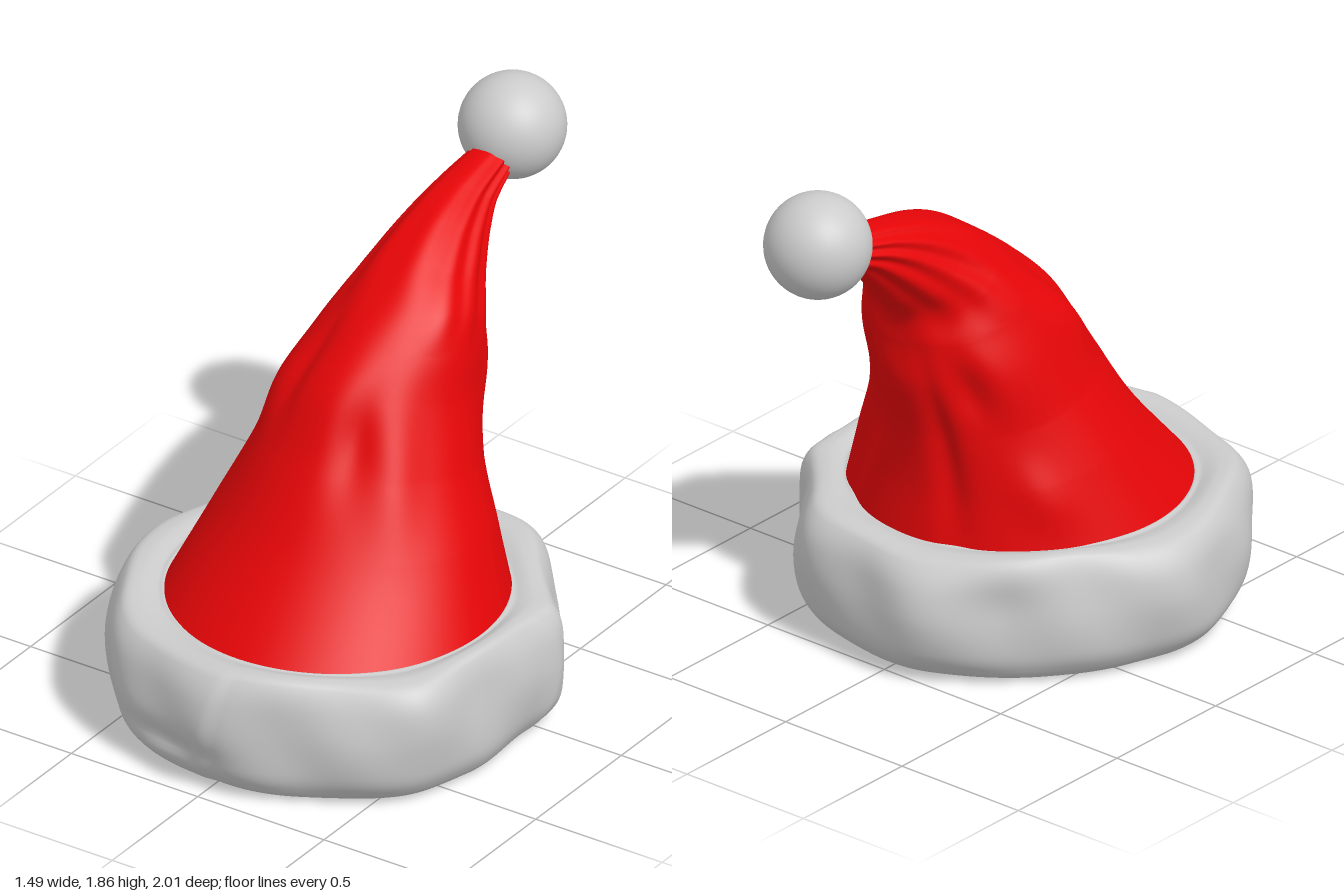
import * as THREE from 'three';
import { ParametricGeometry } from 'three/addons/geometries/ParametricGeometry.js';

const TAU = Math.PI * 2;
const CENTRE = { x: 0.03, z: 0.23 }; // axis of the opening
const GREY = 0xcccccc, RED = 0xe60507;

const wrap = (a) => Math.atan2(Math.sin(a), Math.cos(a));
// smooth bump around a point in (angle, height) space
const bump = (a, y, a0, y0, wa, wy, amp) =>
  amp * Math.exp(-((wrap(a - a0) / wa) ** 2) - ((y - y0) / wy) ** 2);
// overlap of cloth: steep on one side, fading out on the other
const overlap = (a, a0, fade, amp) => {
  const d = wrap(a - a0);
  return d > 0 ? amp * THREE.MathUtils.smoothstep(d, 0, 0.09) * Math.exp(-d / fade) : 0;
};

function surface(name, fn, slices, stacks, color) {
  const material = new THREE.MeshStandardMaterial({ color, side: THREE.DoubleSide });
  const mesh = new THREE.Mesh(new ParametricGeometry(fn, slices, stacks), material);
  mesh.name = name;
  return mesh;
}

// Cone: tilted rings given as front z, front y, back z, back y, right x, left x
function makeCone() {
  const rings = [
    [0.825, 0.41, -0.36, 0.41, -0.545, 0.605],
    [0.555, 0.72, -0.34, 0.62, -0.445, 0.495],
    [0.40, 0.96, -0.35, 0.80, -0.36, 0.395],
    [0.28, 1.17, -0.40, 1.02, -0.295, 0.33],
    [0.14, 1.31, -0.40, 1.15, -0.235, 0.315],
    [0.01, 1.42, -0.40, 1.25, -0.18, 0.29],
    [-0.12, 1.51, -0.47, 1.34, -0.135, 0.225],
    [-0.28, 1.585, -0.55, 1.43, -0.10, 0.165],
    [-0.46, 1.635, -0.62, 1.50, -0.075, 0.12],
    [-0.66, 1.67, -0.70, 1.55, -0.055, 0.095],
  ];
  const curve = (i) => new THREE.CatmullRomCurve3(
    rings.map((r) => new THREE.Vector3(r[i], r[i + 1], 0)));
  const [front, back, sides] = [curve(0), curve(2), curve(4)];

  return surface('cone', (u, v, target) => {
    const a = -u * TAU, c = Math.cos(a), s = Math.sin(a);
    const f = front.getPoint(v), b = back.getPoint(v), w = sides.getPoint(v);
    const k = (1 + s) / 2;
    const y = b.y + (f.y - b.y) * k;
    // gathers fan out from the tip, broad dents lie in the middle
    const gather = Math.max(0, v - 0.45) / 0.55;
    const mid = Math.sin(Math.PI * v) ** 2;
    const swell = 1
      + 0.08 * gather * Math.sin(10 * a + 1.2 * Math.sin(2 * a) + 0.6)
      + 0.02 * mid * Math.sin(3 * a + 9 * v) + 0.014 * mid * Math.sin(5 * a - 14 * v)
      + bump(a, y, 1.15, 1.05, 0.2, 0.15, -0.09)
      + bump(a, y, 0.75, 0.95, 0.2, 0.2, 0.04)
      + bump(a, y, 2.5, 1.12, 0.25, 0.12, 0.05)
      + bump(a, y, 2.1, 1.2, 0.15, 0.14, -0.06)
      + bump(a, y, -0.95, 0.85, 0.16, 0.3, -0.13)
      + bump(a, y, -0.6, 1.1, 0.16, 0.1, 0.05)
      + bump(a, y, -2.3, 1.0, 0.2, 0.12, -0.1)
      + bump(a, y, -2.55, 0.62, 0.2, 0.12, 0.04)
      + bump(a, y, -1.9, 0.75, 0.12, 0.25, -0.07)
      + bump(a, y, -1.2, 1.3, 0.2, 0.15, -0.07);
    target.set(
      (w.x + w.y) / 2 + c * swell * (w.y - w.x) / 2,
      y,
      (f.z + b.z) / 2 + (f.x + b.x) / 2 + s * swell * (f.x - b.x) / 2);
  }, 160, 110, RED);
}

// Fur band: a rounded section swept between a round opening and a lumpy outline
function makeBand() {
  const outline = new THREE.CatmullRomCurve3([
    [0.725, 0.2], [0.715, 0.42], [0.655, 0.67], [0.32, 0.89], [0.1, 0.985], [-0.1, 0.975],
    [-0.37, 0.9], [-0.49, 0.8], [-0.68, 0.5], [-0.755, 0.2], [-0.69, 0.02],
    [-0.58, -0.16], [-0.43, -0.35], [-0.15, -0.545], [0.1, -0.545], [0.35, -0.5],
    [0.55, -0.31], [0.67, -0.16], [0.735, -0.08], [0.725, 0.08],
  ].map(([x, z]) => new THREE.Vector3(x, 0, z)), true);
  // x runs from the opening (0) to the outline (1)
  const section = new THREE.CatmullRomCurve3([
    [0, 0.42], [0.15, 0.435], [0.45, 0.45], [0.75, 0.43], [0.94, 0.35], [1, 0.24],
    [0.94, 0.12], [0.75, 0.045], [0.45, 0.004], [0.22, 0.015], [0.06, 0.09], [0, 0.24],
  ].map(([x, y]) => new THREE.Vector3(x, y, 0)), true);

  return surface('furBand', (u, v, target) => {
    const o = outline.getPoint(u % 1), p = section.getPoint(v % 1);
    const dx = o.x - CENTRE.x, dz = o.z - CENTRE.z;
    const a = Math.atan2(dz, dx), outer = Math.hypot(dx, dz), inner = 0.56;
    // lumps only affect the outside of the band
    const lump = p.x * (
      0.007 * Math.sin(7 * a + 9 * p.y) + 0.005 * Math.sin(11 * a - 12 * p.y)
      + overlap(a, 1.6 - 0.3 * p.y, 0.25, 0.016)
      + overlap(a, -0.42 + 1.5 * (p.y - 0.24) ** 2, 0.3, 0.016)
      + bump(a, p.y, 1.85, 0.14, 0.25, 0.05, -0.025)
      + bump(a, p.y, -0.65, 0.3, 0.14, 0.1, -0.025)
      + bump(a, p.y, -2.2, 0.3, 0.2, 0.1, -0.02) - 0.004);
    const r = inner + (outer - inner) * p.x + lump;
    const lift = p.x * (p.y / 0.45) ** 2 * 0.016 * Math.sin(5 * a + 1);
    target.set(CENTRE.x + Math.cos(a) * r, p.y + lift, CENTRE.z + Math.sin(a) * r);
  }, 320, 64, GREY);
}

function makePompom() {
  const mesh = new THREE.Mesh(
    new THREE.SphereGeometry(0.18, 48, 32),
    new THREE.MeshStandardMaterial({ color: GREY }));
  mesh.name = 'pompom';
  mesh.position.set(0.014, 1.678, -0.82);
  return mesh;
}

export function createModel() {
  const hat = new THREE.Group();
  hat.name = 'hat';
  hat.add(makeCone(), makeBand(), makePompom());
  return hat;
}
